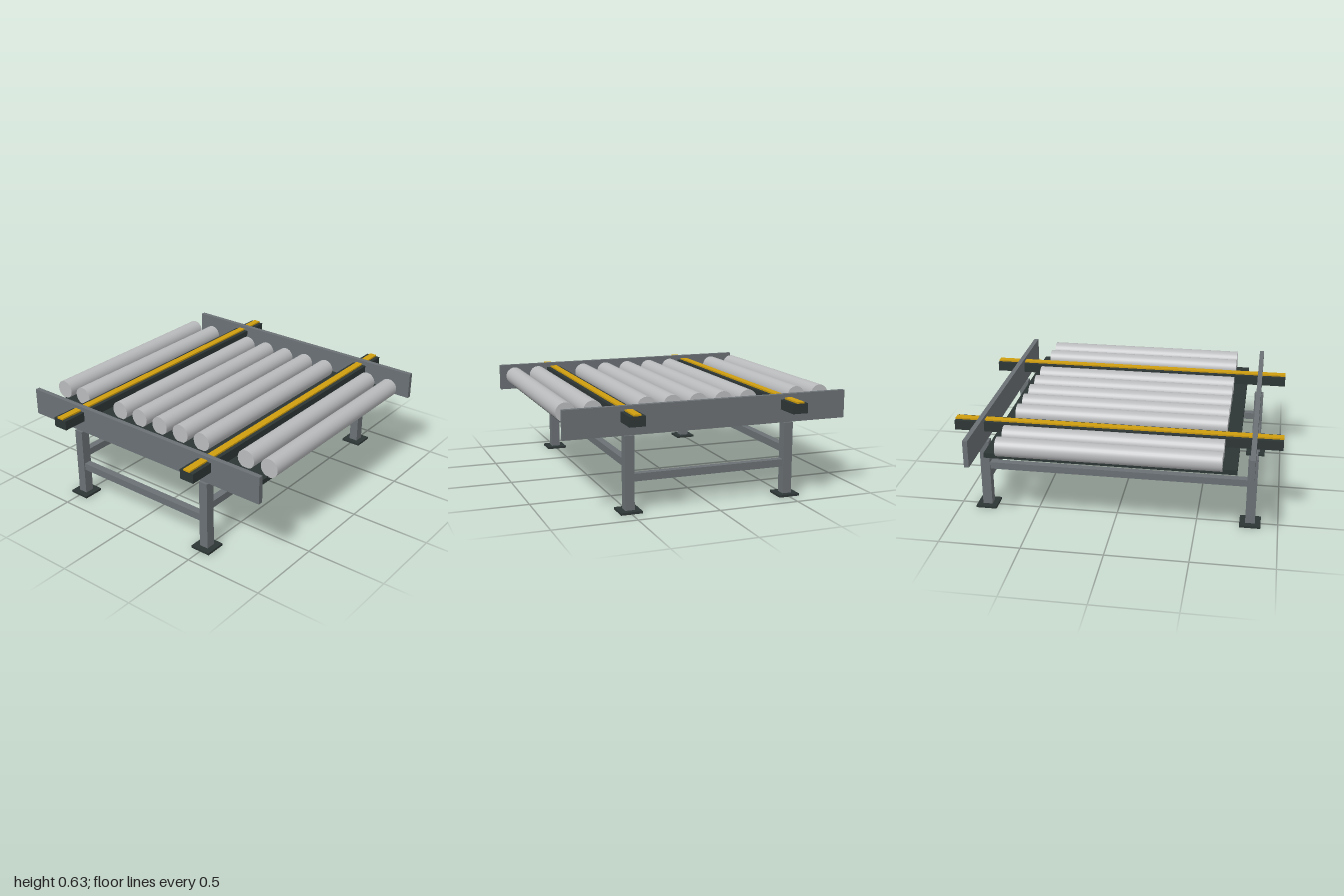
import * as THREE from 'three';

export function createModel() {
  const model = new THREE.Group();
  model.name = 'rollerConveyor';

  const material = (name, color) => {
    const m = new THREE.MeshStandardMaterial({ color });
    m.name = name;
    return m;
  };
  const steel = material('steel grey', 0x6a7074);
  const dark = material('dark charcoal', 0x2d3635);
  const silver = material('roller silver', 0xb9babc);
  const yellow = material('chain yellow', 0xcf9d0e);

  const add = (name, geometry, mat, x, y, z) => {
    const mesh = new THREE.Mesh(geometry, mat);
    mesh.name = name;
    mesh.position.set(x, y, z);
    model.add(mesh);
    return mesh;
  };
  // Box given by its bottom and top heights
  const box = (name, mat, w, d, y0, y1, x = 0, z = 0) =>
    add(name, new THREE.BoxGeometry(w, y1 - y0, d), mat, x, (y0 + y1) / 2, z);

  const legX = 0.5, legZ = 0.83;

  // Deck under the rollers
  box('deckPlate', dark, 1.62, 1.49, 0.485, 0.515);

  // Rollers, leaving gaps for the two transfer tracks
  const rollerGeometry = new THREE.CylinderGeometry(0.058, 0.058, 1.32, 32).rotateX(Math.PI / 2);
  for (const i of [-5, -4, -2, -1, 0, 1, 2, 4, 5]) {
    add('roller', rollerGeometry, silver, i * 0.163, 0.568, 0);
  }

  // Side rails and the braces between their legs
  for (const side of [-1, 1]) {
    box('sideRail', steel, 1.766, 0.03, 0.45, 0.62, 0, side * legZ);
    box('crossBrace', steel, 2 * legX - 0.056, 0.045, 0.18, 0.225, 0, side * legZ);
  }

  // Transfer tracks with chain strips, long braces, legs and feet
  for (const side of [-1, 1]) {
    const x = side * legX;
    box('transferTrack', dark, 0.095, 2, 0.53, 0.59, x);
    box('chainStrip', yellow, 0.045, 2, 0.59, 0.6, x);
    box('longBrace', steel, 0.045, 2 * legZ - 0.058, 0.262, 0.306, x);
    for (const end of [-1, 1]) {
      box('leg', steel, 0.057, 0.06, 0.001, 0.45, x, end * legZ);
      box('footPlate', dark, 0.13, 0.13, 0, 0.014, x, end * legZ);
    }
  }

  return model;
}
